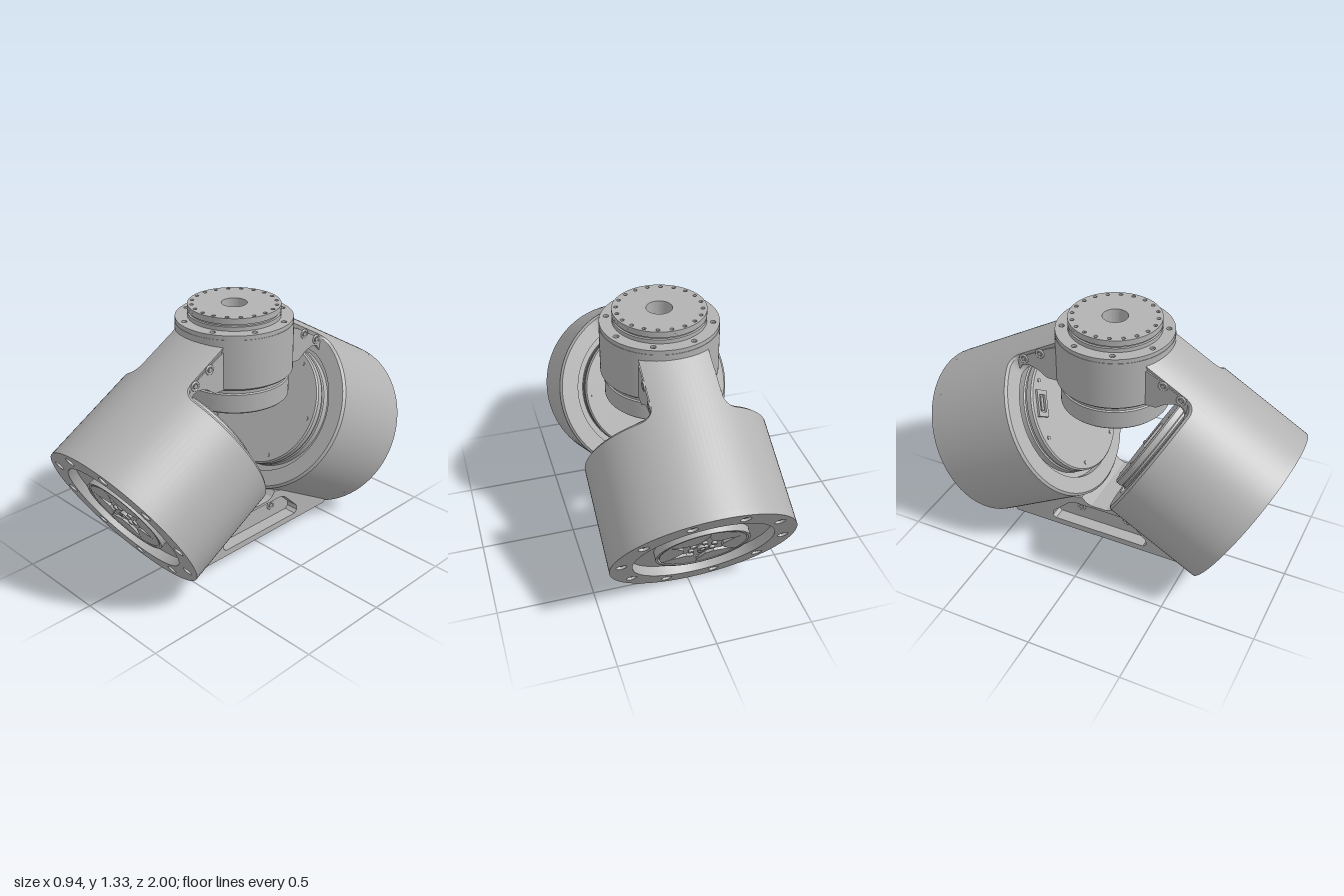
import * as THREE from 'three';
import { toCreasedNormals } from 'three/addons/utils/BufferGeometryUtils.js';

const metal = new THREE.MeshStandardMaterial({ color: 0xb2b2b2 });
metal.name = 'grey metal';

const R = 0.468, BORE = 0.37, ARM = 0.175, TILT = Math.PI / 6;
const V = (x, y) => new THREE.Vector2(x, y);

function add(parent, name, geo, x = 0, y = 0, z = 0) {
  const m = new THREE.Mesh(geo, metal);
  m.name = name;
  m.position.set(x, y, z);
  parent.add(m);
  return m;
}

// Turned part around y with crisp edges
const turned = (pts, seg = 96) =>
  toCreasedNormals(new THREE.LatheGeometry(pts.map(p => V(...p)), seg).toNonIndexed(), 0.5);

// Points evenly spaced on a circle
const around = (n, r, start = 0) => Array.from({ length: n }, (_, i) => {
  const a = start + i * 2 * Math.PI / n;
  return [r * Math.cos(a), r * Math.sin(a), a];
});

// Flat ring with drilled holes, extruded along +z
function drilledPlate(outer, inner, holes, holeR, depth) {
  const s = new THREE.Shape().absarc(0, 0, outer, 0, Math.PI * 2);
  const drill = (x, y, r) => s.holes.push(new THREE.Path().absarc(x, y, r, 0, Math.PI * 2, true));
  drill(0, 0, inner);
  holes.forEach(([x, y]) => drill(x, y, holeR));
  return toCreasedNormals(new THREE.ExtrudeGeometry(s, { depth, bevelEnabled: false, curveSegments: 40 }).toNonIndexed(), 0.5);
}

// Side profile (z, y) extruded across x, centred on x = 0
function acrossX(pts, width, hole) {
  const s = new THREE.Shape(pts.map(p => V(...p)));
  if (hole) s.holes.push(new THREE.Path(hole.map(p => V(...p))));
  return new THREE.ExtrudeGeometry(s, { depth: width, bevelEnabled: false })
    .translate(0, 0, -width / 2).rotateY(-Math.PI / 2);
}

// Screw on a face that looks along x
function sideScrew(parent, x, y, z) {
  add(parent, 'screwCollar', new THREE.TorusGeometry(0.02, 0.006, 8, 20).rotateY(Math.PI / 2), x, y, z);
  add(parent, 'screwHead', new THREE.CylinderGeometry(0.012, 0.012, 0.012, 6).rotateZ(Math.PI / 2), x, y, z);
}

// Barrel around z whose inner edge runs on into a filleted neck at the top
function barrelGeometry() {
  const edge = -0.095, f = 0.06, neckEnd = -0.41;
  const samples = [];
  const a0 = Math.asin(ARM / R), a1 = Math.asin((ARM + f) / R);
  for (let i = 0; i <= 16; i++) samples.push([-a0 + 2 * a0 * i / 16, neckEnd]);
  const fillet = t => {
    const a = a0 + (a1 - a0) * t;
    const dx = Math.min(f, ARM + f - R * Math.sin(a));
    return [a, edge - f + Math.sqrt(Math.max(0, f * f - dx * dx))];
  };
  for (let i = 0; i <= 10; i++) samples.push(fillet(i / 10));
  for (let i = 1; i < 90; i++) samples.push([a1 + (2 * Math.PI - 2 * a1) * i / 90, edge]);
  for (let i = 10; i >= 0; i--) {
    const [a, d] = fillet(i / 10);
    samples.push([2 * Math.PI - a, d]);
  }
  samples.push([2 * Math.PI - a0, neckEnd]);
  const rows = samples.map(([a, d]) =>
    [[R, 0.43], [R, d + 0.012], [R - 0.012, d], [BORE, d], [BORE, -0.05]]
      .map(([r, z]) => [r * Math.sin(a), r * Math.cos(a), z]));
  const pos = [];
  for (let i = 0; i + 1 < rows.length; i++) {
    for (let j = 0; j < 4; j++) {
      const a = rows[i][j], b = rows[i][j + 1], c = rows[i + 1][j + 1], d = rows[i + 1][j];
      pos.push(...a, ...c, ...b, ...a, ...d, ...c);
    }
  }
  const g = new THREE.BufferGeometry();
  g.setAttribute('position', new THREE.Float32BufferAttribute(pos, 3));
  return toCreasedNormals(g, 0.5);
}

// Six-armed drive boss in the recessed outer face
function driveBoss(parent) {
  const boss = new THREE.Group();
  boss.name = 'driveBoss';
  boss.position.z = 0.41;
  parent.add(boss);
  add(boss, 'bossRim', drilledPlate(0.238, 0.226, [], 0, 0.04));
  add(boss, 'bossFloor', new THREE.CylinderGeometry(0.23, 0.23, 0.024, 64).rotateX(Math.PI / 2), 0, 0, 0.012);
  const pad = new THREE.Shape();
  pad.moveTo(0.1, -0.022).lineTo(0.15, -0.085).lineTo(0.19, -0.11);
  pad.absarc(0, 0, 0.219, -0.52, 0.52, false);
  pad.lineTo(0.15, 0.085).lineTo(0.1, 0.022);
  const padGeo = new THREE.ExtrudeGeometry(pad, { depth: 0.038, bevelEnabled: false });
  for (const [, , a] of around(6, 1)) add(boss, 'bossPad', padGeo).rotation.z = a;
  for (const [x, y] of around(6, 0.17, TILT)) {
    add(boss, 'bossScrew', new THREE.TorusGeometry(0.014, 0.005, 8, 16), x, y, 0.026);
  }
  for (const [x, y] of around(6, 0.062, TILT)) {
    add(boss, 'hubScrew', new THREE.CylinderGeometry(0.015, 0.015, 0.014, 6).rotateX(Math.PI / 2), x, y, 0.03);
  }
  add(boss, 'hubCentre', drilledPlate(0.028, 0.014, [], 0, 0.04));
}

// One tilted joint: barrel, motor, face ring, neck
function joint(name, connectorSide) {
  const side = new THREE.Group();
  side.name = name;
  const g = new THREE.Group();
  g.name = 'tiltedBarrel';
  g.rotation.x = TILT;
  g.position.set(0, 0.733 * Math.cos(TILT), 0.733 * Math.sin(TILT));
  side.add(g);
  add(g, 'barrel', barrelGeometry());
  const bolts = around(10, 0.41);
  add(g, 'faceRing', drilledPlate(R, 0.355, bolts, 0.027, 0.06), 0, 0, 0.4);
  for (const [x, y] of bolts) {
    add(g, 'faceBolt', new THREE.CylinderGeometry(0.02, 0.02, 0.04, 6).rotateX(Math.PI / 2), x, y, 0.43);
  }
  add(g, 'motor', turned([[0, -0.152], [0.332, -0.152], [0.34, -0.144], [0.34, -0.115], [0.333, -0.11],
    [0.333, -0.1], [0.34, -0.095], [0.34, -0.06], [0.369, -0.06], [0.369, 0.41], [0, 0.41]]).rotateX(Math.PI / 2));
  driveBoss(g);

  // Cable connector and small screws on the inner face
  const c = new THREE.Group();
  c.name = 'connector';
  c.position.set(connectorSide * 0.22, 0.16, -0.152);
  c.rotation.z = connectorSide * -0.95;
  g.add(c);
  const frame = new THREE.Shape([V(-0.07, -0.035), V(0.07, -0.035), V(0.07, 0.035), V(-0.07, 0.035)]);
  frame.holes.push(new THREE.Path([V(-0.045, -0.02), V(-0.045, 0.02), V(0.045, 0.02), V(0.045, -0.02)]));
  add(c, 'connectorFrame', new THREE.ExtrudeGeometry(frame, { depth: 0.012, bevelEnabled: false }), 0, 0, -0.012);
  add(c, 'connectorPlug', new THREE.BoxGeometry(0.07, 0.018, 0.01), 0, 0, -0.004);
  for (const [x, y] of around(6, 0.3)) {
    add(g, 'rearScrew', new THREE.CylinderGeometry(0.01, 0.01, 0.008, 12).rotateX(Math.PI / 2), x, y, -0.153);
  }

  // Neck gusset into the central hub
  add(side, 'neckGusset', acrossX([[0.2, 0.985], [0.3, 0.985], [0.35, 1.02], [0.4, 1.035], [0.44, 1.025],
    [0.46, 0.99], [0.49, 0.995], [0.51, 1.015], [0.5, 1.04], [0.3, 1.155], [0.2, 1.2]], ARM * 2));
  for (const s of [-1, 1]) {
    sideScrew(side, s * ARM, 1.065, 0.43);
    sideScrew(side, s * ARM, 1.12, 0.335);
  }
  return side;
}

// Upright joint between the necks
function centralHub() {
  const hub = new THREE.Group();
  hub.name = 'centralHub';
  add(hub, 'hubBody', turned([[0, 0.847], [0.272, 0.847], [0.28, 0.855], [0.28, 0.95], [0.272, 0.955],
    [0.272, 0.975], [0.29, 0.98], [0.3, 0.99], [0.3, 1.245], [0, 1.245]]));
  const bolts = around(8, 0.265, Math.PI / 8);
  const up = g => g.rotateX(-Math.PI / 2);
  add(hub, 'hubFlange', up(drilledPlate(0.298, 0.2, bolts, 0.014, 0.022)), 0, 1.245, 0);
  for (const [x, z] of bolts) add(hub, 'flangeBolt', new THREE.CylinderGeometry(0.009, 0.009, 0.016, 6), x, 1.25, z);
  add(hub, 'outputDisc', turned([[0.235, 1.25], [0.235, 1.288], [0.226, 1.29], [0.226, 1.298],
    [0.235, 1.3], [0.235, 1.315], [0.065, 1.315], [0.065, 1.24]]));
  add(hub, 'outputPlate', up(drilledPlate(0.235, 0.065, around(20, 0.214), 0.01, 0.016)), 0, 1.315, 0);
  add(hub, 'hubConnector', new THREE.BoxGeometry(0.12, 0.03, 0.09), 0, 0.835, -0.175);
  return hub;
}

// Web tying both barrels together at the bottom, with a pocket on each side
function baseWeb() {
  const web = new THREE.Group();
  web.name = 'baseWeb';
  const mirror = half => [...half, ...half.map(([z, y]) => [-z, y]).reverse()];
  const outline = mirror([[0.515, 0.045], [0.53, 0.07], [0.28, 0.24], [0.1, 0.29], [0.075, 0.262], [0.045, 0.25]]);
  const pocket = mirror([[0.265, 0.08], [0.283, 0.095], [0.28, 0.125], [0.18, 0.222], [0.15, 0.235]]);
  add(web, 'webCore', acrossX(outline, 0.28));
  for (const s of [-1, 1]) {
    add(web, 'webFlank', acrossX(outline, 0.07, pocket), s * 0.175);
    for (const z of [-0.14, 0.14]) sideScrew(web, s * 0.14, 0.155, z);
  }
  return web;
}

export function createModel() {
  const model = new THREE.Group();
  model.name = 'tripleJointModule';
  const back = joint('backJoint', 1);
  back.rotation.y = Math.PI;
  model.add(joint('frontJoint', -1), back, centralHub(), baseWeb());
  return model;
}
